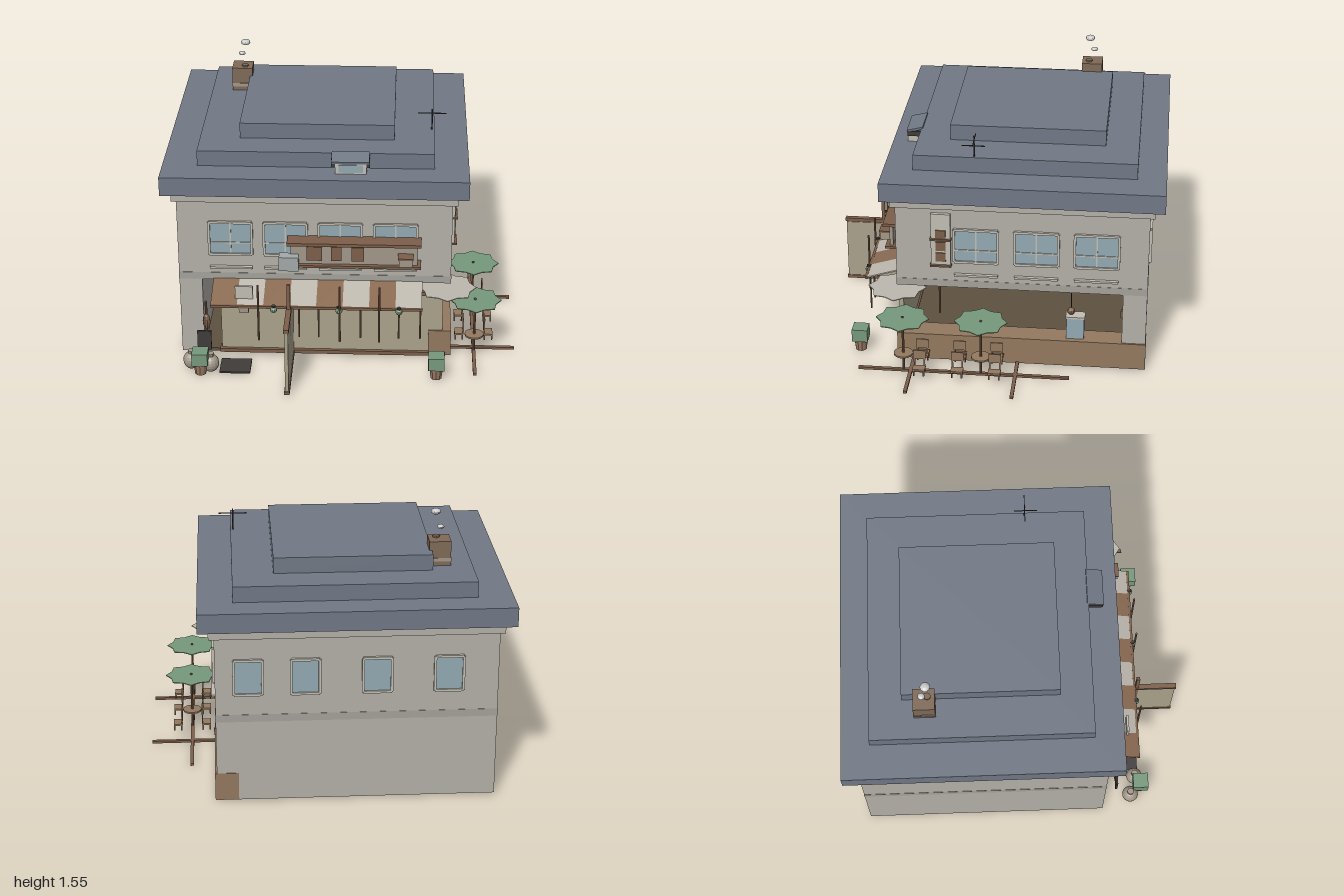
import * as THREE from 'three';

const mat = (color, side = THREE.FrontSide) =>
  new THREE.MeshStandardMaterial({ color, side, flatShading: true });
const WALL = mat(0xb4b0a8), BAND = mat(0xa5a29b), ROOF = mat(0x717986), FRAME = mat(0xc2beb4);
const GLASS = mat(0x93aab2), WOOD = mat(0x7d5f4a), DECK = mat(0x94795f), PAPER = mat(0xaba28c, THREE.DoubleSide);
const DARK = mat(0x3f3c3a), BRICK = mat(0x806a58), GREEN = mat(0x77997c, THREE.DoubleSide);
const PALE = mat(0xbdb8ae, THREE.DoubleSide), STRIPE = mat(0x8a6a52, THREE.DoubleSide);
const POT = mat(0x9c7a66), SMOKE = mat(0xcccccc), FLOOR = mat(0x5e5140), CLAY = mat(0xa3988a);

export function createModel() {
  const root = new THREE.Group();
  const add = (name, geo, m, x = 0, y = 0, z = 0, parent = root) => {
    const o = new THREE.Mesh(geo, m);
    o.name = name;
    o.position.set(x, y, z);
    parent.add(o);
    return o;
  };
  // Box given by its limits on each axis
  const box = (name, m, x0, x1, y0, y1, z0, z1, parent = root) =>
    add(name, new THREE.BoxGeometry(x1 - x0, y1 - y0, z1 - z0), m,
      (x0 + x1) / 2, (y0 + y1) / 2, (z0 + z1) / 2, parent);
  const rod = (name, m, r, x, y0, y1, z, parent = root) =>
    add(name, new THREE.CylinderGeometry(r, r, y1 - y0, 8), m, x, (y0 + y1) / 2, z, parent);
  const group = (name, x = 0, y = 0, z = 0, ry = 0) => {
    const g = new THREE.Group();
    g.name = name;
    g.position.set(x, y, z);
    g.rotation.y = ry;
    root.add(g);
    return g;
  };

  // Walls: solid upper storey, ground floor open at the front and on the +x side
  box('upperStorey', WALL, -0.92, 0.62, 0.49, 1.05, -0.89, 0.52);
  box('backWall', WALL, -0.92, 0.62, 0.015, 0.49, -0.89, -0.755);
  box('sideWall', WALL, -0.92, -0.79, 0.015, 0.49, -0.755, 0.52);
  box('floor', FLOOR, -0.79, 0.62, 0.015, 0.035, -0.755, 0.52);
  box('wallBand', BAND, -0.922, 0.622, 0.492, 0.535, -0.892, 0.522);
  box('cornice', WALL, -0.945, 0.65, 0.99, 1.05, -0.915, 0.545);

  // Stepped roof
  box('roofEave', ROOF, -1, 0.707, 1.05, 1.16, -0.97, 0.595);
  box('roofMiddle', ROOF, -0.805, 0.515, 1.16, 1.25, -0.81, 0.43);
  box('roofTop', ROOF, -0.58, 0.29, 1.25, 1.34, -0.625, 0.248);

  // Chimney with smoke
  box('chimney', BRICK, -0.685, -0.565, 1.16, 1.39, -0.56, -0.44);
  box('chimneyBand', CLAY, -0.688, -0.562, 1.275, 1.295, -0.563, -0.437);
  rod('chimneyPot', BRICK, 0.02, -0.61, 1.39, 1.4, -0.48);
  [[-0.63, 1.46, -0.51, 0.02], [-0.605, 1.54, -0.485, 0.028]].forEach(([x, y, z, r]) =>
    add('smokePuff', new THREE.SphereGeometry(r, 12, 8), SMOKE, x, y, z).scale.y = 0.6);

  // Aerial
  rod('aerialPole', DARK, 0.004, 0.5, 1.16, 1.375, 0.09);
  box('aerialBar', DARK, 0.42, 0.58, 1.347, 1.352, 0.088, 0.092);
  box('aerialBar', DARK, 0.498, 0.502, 1.312, 1.317, 0.03, 0.16);

  // Dormer
  box('dormer', FRAME, -0.035, 0.14, 1.16, 1.235, 0.42, 0.51);
  box('dormerGlass', GLASS, -0.015, 0.12, 1.17, 1.215, 0.505, 0.514);
  box('dormerRoof', ROOF, -0.055, 0.155, 1.232, 1.246, 0.42, 0.515).rotation.x = 0.25;
  for (const x of [-0.045, 0.145]) box('dormerBracket', DARK, x - 0.012, x + 0.012, 1.2, 1.23, 0.43, 0.51);

  // Windows, built facing +z
  function makeWindow(x, z, ry, w, sill, bars) {
    const g = group('window', x, 0.757, z, ry), h = 0.2;
    box('glass', GLASS, -w / 2, w / 2, -h / 2, h / 2, -0.01, 0.005, g);
    const e = 0.007;
    for (const s of [-1, 1]) {
      box('frameSide', FRAME, s * w / 2 - e, s * w / 2 + e, -h / 2, h / 2, -0.01, 0.014, g);
      box('frameRail', FRAME, -w / 2, w / 2, s * h / 2 - e, s * h / 2 + e, -0.01, 0.014, g);
    }
    if (bars) {
      box('mullion', FRAME, -0.004, 0.004, -h / 2, h / 2, 0, 0.01, g);
      box('transom', FRAME, -w / 2, w / 2, -0.03, -0.022, 0, 0.01, g);
    }
    if (sill) box('sill', FRAME, -w / 2, w / 2, -0.188, -0.176, -0.01, 0.02, g);
  }
  for (let i = 0; i < 4; i++) makeWindow(-0.622 + i * 0.309, 0.52, 0, 0.24, true, true);
  for (const z of [0.07, -0.267, -0.603]) makeWindow(0.62, z, Math.PI / 2, 0.245, true, true);
  for (const x of [0.44, 0.13, -0.26, -0.65]) makeWindow(x, -0.89, Math.PI, 0.155, false, false);

  // Signboard above the awning
  box('signBoard', CLAY, -0.28, 0.43, 0.635, 0.765, 0.565, 0.585);
  box('signTopRail', WOOD, -0.3, 0.45, 0.762, 0.78, 0.52, 0.62);
  box('signBottomRail', WOOD, -0.3, 0.45, 0.623, 0.637, 0.52, 0.61);
  for (const [a, b] of [[-0.19, -0.105], [-0.055, 0.005], [0.06, 0.13]])
    box('signPanel', WOOD, a, b, 0.66, 0.745, 0.583, 0.593);
  box('signLamp', CLAY, 0.325, 0.4, 0.655, 0.705, 0.58, 0.645);
  box('signLampCap', WOOD, 0.32, 0.405, 0.7, 0.71, 0.575, 0.65);
  box('signBox', mat(0xa3a8a8), -0.345, -0.235, 0.61, 0.695, 0.57, 0.63);

  // Upright sign on the +x wall
  box('sideSign', FRAME, 0.62, 0.64, 0.63, 0.955, 0.21, 0.32);
  for (const y of [0.83, 0.757, 0.69]) box('sideSignPanel', WOOD, 0.636, 0.646, y - 0.027, y + 0.027, 0.237, 0.293);
  for (const y of [0.637, 0.8]) box('sideSignBar', WOOD, 0.62, 0.655, y - 0.005, y + 0.005, 0.205, 0.325);

  // Striped awning
  const slope = Math.atan2(0.065, 0.21);
  for (let i = 0; i < 8; i++)
    add('awningStripe', new THREE.BoxGeometry(0.148, 0.008, 0.22), i % 2 ? PALE : STRIPE,
      -0.651 + i * 0.148, 0.463, 0.625).rotation.x = slope;
  box('awningBeam', WOOD, -0.725, 0.46, 0.425, 0.44, 0.718, 0.732);
  for (const x of [-0.37, -0.005, 0.33]) {
    add('lantern', new THREE.SphereGeometry(0.02, 10, 8), GREEN, x, 0.42, 0.73);
    rod('lanternCap', DARK, 0.012, x, 0.436, 0.446, 0.73);
  }
  box('hangingBox', CLAY, -0.565, -0.51, 0.395, 0.43, 0.7, 0.73);
  box('awningSign', FRAME, -0.59, -0.49, 0.45, 0.53, 0.658, 0.672);
  for (const x of [-0.455, 0, 0.22]) rod('awningPost', WOOD, 0.006, x, 0.23, 0.58, 0.745);
  for (const x of [-0.23, -0.12, 0.115, 0.33, 0.45]) rod('awningHanger', WOOD, 0.005, x, 0.23, 0.42, 0.7);

  // Paper screens, one along the front and one crossing it
  box('frontScreen', PAPER, -0.69, 0.58, 0.035, 0.415, 0.49, 0.515);
  box('frontScreenHead', WOOD, -0.7, 0.6, 0.412, 0.435, 0.48, 0.535);
  box('frontScreenSill', WOOD, -0.7, 0.6, 0.018, 0.04, 0.48, 0.535);
  box('crossScreen', PAPER, -0.295, -0.275, 0.035, 0.405, 0.07, 0.97);
  box('crossScreenHead', WOOD, -0.3, -0.27, 0.41, 0.432, 0.065, 0.975);
  box('crossScreenSill', WOOD, -0.3, -0.27, 0.015, 0.035, 0.065, 0.975);
  box('crossPost', WOOD, -0.295, -0.275, 0.035, 0.585, 0.73, 0.75);
  rod('innerPost', WOOD, 0.006, 0.45, 0.22, 0.49, 0.3);

  // Counter along the open side and things on it
  box('counter', DECK, 0.5, 0.63, 0.018, 0.18, -0.893, 0.525);
  box('counterCase', GLASS, 0.54, 0.6, 0.18, 0.31, -0.54, -0.44);
  box('counterCaseTop', FRAME, 0.535, 0.605, 0.31, 0.322, -0.545, -0.435);
  rod('lampCord', DARK, 0.003, 0.57, 0.34, 0.49, -0.465);
  add('hangingLamp', new THREE.SphereGeometry(0.022, 10, 8), WOOD, 0.57, 0.345, -0.465);
  box('wallHook', WOOD, 0.6, 0.63, 0.35, 0.39, -0.755, -0.745);

  // Flat parasols with scalloped rims
  function parasol(x, y, z, r, m) {
    const shape = new THREE.Shape(), n = 16;
    for (let i = 0; i < n; i++) {
      const a = i / n * Math.PI * 2, q = i % 2 ? r * 0.84 : r;
      shape[i ? 'lineTo' : 'moveTo'](Math.cos(a) * q, Math.sin(a) * q);
    }
    const geo = new THREE.ExtrudeGeometry(shape, { depth: 0.005, bevelEnabled: false });
    add('parasol', geo.rotateX(-Math.PI / 2), m, x, y, z);
  }
  parasol(0.6, 0.462, 0.52, 0.165, PALE);
  for (const z of [0.03, 0.47]) {
    parasol(0.765, 0.355, z, 0.15, GREEN);
    rod('parasolPole', WOOD, 0.007, 0.765, 0.015, 0.368, z);
    add('tableTop', new THREE.CylinderGeometry(0.055, 0.055, 0.01, 12), DECK, 0.765, 0.13, z);
  }

  // Chairs in facing pairs
  for (const z of [0.37, 0.155, -0.055]) for (const s of [-1, 1]) {
    const g = group('chair', 0.765 + s * 0.085, 0, z, s > 0 ? 0 : Math.PI);
    box('seat', DECK, -0.025, 0.025, 0.082, 0.092, -0.035, 0.035, g);
    box('backRest', DECK, -0.028, -0.02, 0.135, 0.19, -0.035, 0.035, g);
    for (const q of [-1, 1]) {
      box('backPost', DECK, -0.028, -0.021, 0.085, 0.14, q * 0.028 - 0.004, q * 0.028 + 0.004, g);
      for (const p of [-1, 1])
        box('leg', WOOD, p * 0.021 - 0.004, p * 0.021 + 0.004, 0.05, 0.085, q * 0.028 - 0.004, q * 0.028 + 0.004, g);
    }
  }

  // Ground rails of the terrace
  box('terraceRail', WOOD, 0.62, 1, 0.012, 0.026, -0.175, -0.155);
  box('terraceRail', WOOD, 0.62, 1, 0.012, 0.026, 0.42, 0.44);
  box('terraceRail', WOOD, 0.755, 0.775, 0.012, 0.026, -0.47, 0.73);

  // Planters, round jars, mat and entrance lantern
  for (const x of [-0.79, 0.545]) {
    add('planterPot', new THREE.CylinderGeometry(0.04, 0.032, 0.07, 10), POT, x, 0.045, 0.752);
    box('shrub', GREEN, x - 0.045, x + 0.045, 0.078, 0.155, 0.707, 0.797);
  }
  for (const [x, z] of [[-0.847, 0.69], [-0.735, 0.72]]) {
    add('jar', new THREE.SphereGeometry(0.048, 14, 10), CLAY, x, 0.058, z).scale.y = 1.1;
    rod('jarNeck', CLAY, 0.02, x, 0.1, 0.122, z);
  }
  box('doorMat', DARK, -0.685, -0.51, 0.005, 0.015, 0.6, 0.745);
  rod('lanternStick', WOOD, 0.007, -0.765, 0.12, 0.39, 0.6);
  add('entranceLantern', new THREE.SphereGeometry(0.022, 10, 8), WOOD, -0.765, 0.26, 0.6).scale.y = 2.3;
  box('menuBoard', DARK, -0.82, -0.74, 0.08, 0.2, 0.6, 0.612);
  return root;
}
